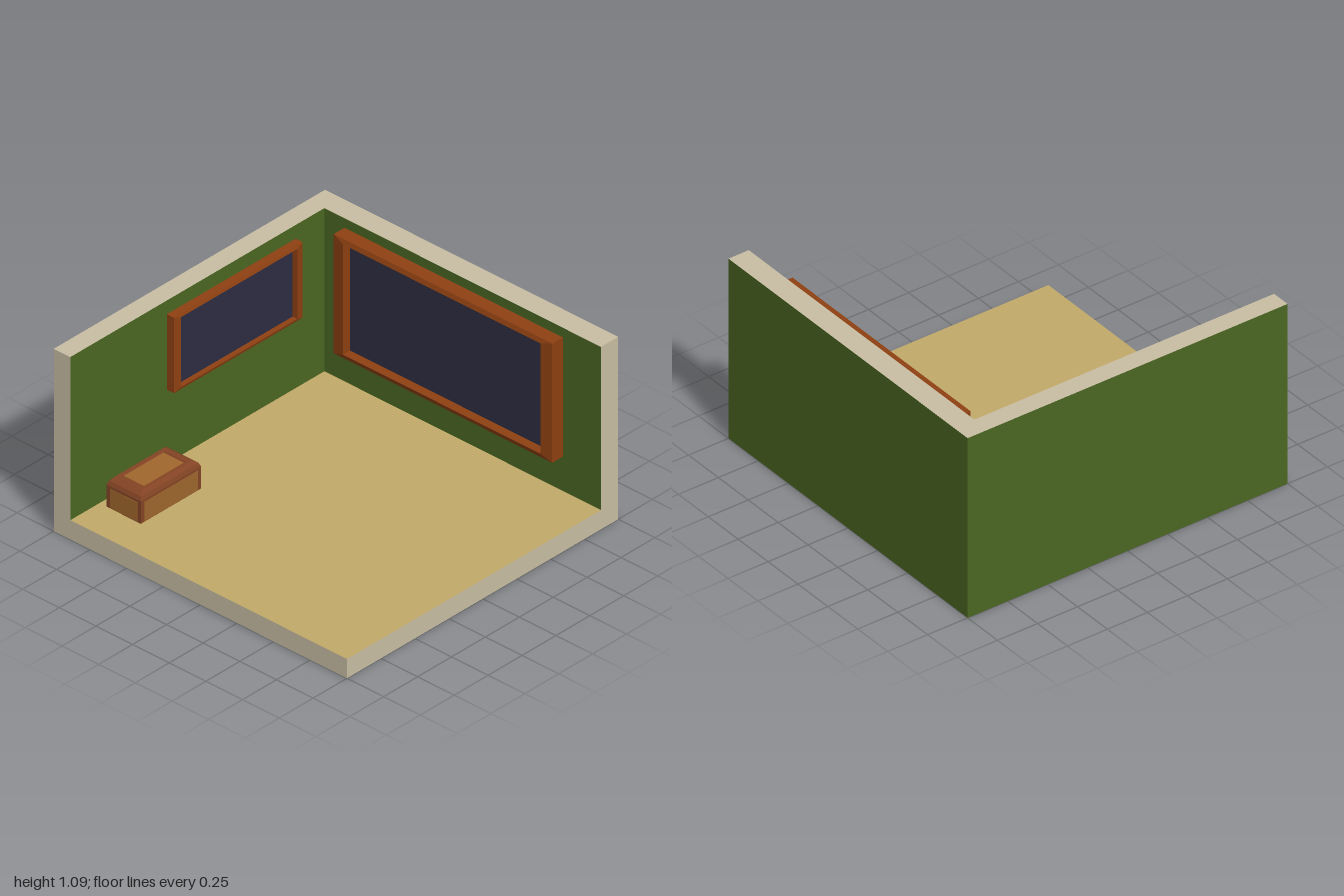
import * as THREE from 'three';

const paint = (name, color) => {
  const m = new THREE.MeshStandardMaterial({ color });
  m.name = name;
  return m;
};

// Loft through rectangles [halfWidth, halfHeight, z], flat shaded; optional cap on the last one
function loftRects(rings, cap) {
  const corners = rings.map(([w, h, z]) => [[-w, -h, z], [w, -h, z], [w, h, z], [-w, h, z]]);
  const pos = [];
  const quad = (a, b, c, d) => pos.push(...a, ...b, ...c, ...a, ...c, ...d);
  for (let r = 0; r + 1 < corners.length; r++) {
    const a = corners[r], b = corners[r + 1];
    for (let i = 0; i < 4; i++) {
      const j = (i + 1) % 4;
      quad(a[i], a[j], b[j], b[i]);
    }
  }
  if (cap) quad(...corners[corners.length - 1]);
  const g = new THREE.BufferGeometry();
  g.setAttribute('position', new THREE.Float32BufferAttribute(pos, 3));
  g.computeVertexNormals();
  return g;
}

export function createModel() {
  const green = paint('green wall', 0x4a6621);
  const beige = paint('beige edge', 0xc9bea3);
  const tan = paint('tan floor', 0xc2a968);
  const orange = paint('orange wood', 0x8f4011);
  const glass = paint('dark glass', 0x2d2d42);
  const brown = paint('chest brown', 0x844424);
  const honey = paint('honey wood', 0xa0672c);

  const room = new THREE.Group();
  room.name = 'room';

  const box = (name, parent, [x0, x1], [y0, y1], [z0, z1], material) => {
    const m = new THREE.Mesh(new THREE.BoxGeometry(x1 - x0, y1 - y0, z1 - z0), material);
    m.position.set((x0 + x1) / 2, (y0 + y1) / 2, (z0 + z1) / 2);
    m.name = name;
    parent.add(m);
    return m;
  };

  // Shell: cut edges are beige, wall faces green
  const floorY = 0.115, wallX = 0.873, wallZ = -0.887, top = 1.087;
  box('floor', room, [-1, wallX], [0, floorY], [wallZ, 1],
    [beige, beige, tan, beige, beige, beige]);
  box('rightWall', room, [wallX, 1], [0, top], [-1, 1],
    [green, green, beige, beige, beige, green]);
  box('backWall', room, [-1, wallX], [0, top], [-1, wallZ],
    [green, beige, beige, beige, green, green]);

  // Window: mitred frame whose face rises slightly toward the opening, with a recessed pane
  const addWindow = (name, width, height, depth) => {
    const g = new THREE.Group();
    g.name = name;
    const w = width / 2, h = height / 2;
    const iw = w * 0.905, ih = h * 0.925;
    const frame = new THREE.Mesh(loftRects([
      [w, h, 0], [w, h, depth * 0.9], [iw, ih, depth], [iw, ih, 0],
    ]), orange);
    frame.name = 'windowFrame';
    g.add(frame);
    box('windowPane', g, [-iw, iw], [-ih, ih], [0, depth * 0.4], glass);
    room.add(g);
    return g;
  };
  addWindow('backWindow', 0.95, 0.45, 0.053).position.set(0.187, 0.78, wallZ);
  const side = addWindow('rightWindow', 1.49, 0.71, 0.088);
  side.position.set(wallX, 0.675, -0.005);
  side.rotation.y = -Math.PI / 2;

  // Chest with a bevelled lid
  const chest = new THREE.Group();
  chest.name = 'chest';
  chest.position.set(-0.563, floorY, -0.722);
  room.add(chest);
  const W = 0.222, D = 0.117;
  const body = new THREE.Mesh(loftRects([
    [W, D, 0], [W, D, 0.132], [W - 0.01, D - 0.008, 0.155], [W - 0.037, D - 0.025, 0.174],
    [W - 0.068, D - 0.042, 0.174], [W - 0.074, D - 0.047, 0.166],
  ], true), brown);
  body.rotation.x = -Math.PI / 2;
  body.name = 'chestBody';
  chest.add(body);

  // Inlaid panels
  box('lidPanel', chest, [-0.147, 0.147], [0.165, 0.169], [-0.069, 0.069], honey);
  for (const s of [-1, 1]) {
    const z = s * D, x = s * W;
    box('longPanel', chest, [-0.198, 0.198], [0.004, 0.118], [z - 0.002, z + 0.002], honey);
    box('endPanel', chest, [x - 0.002, x + 0.002], [0.004, 0.118], [-0.093, 0.093], honey);
  }

  return room;
}
